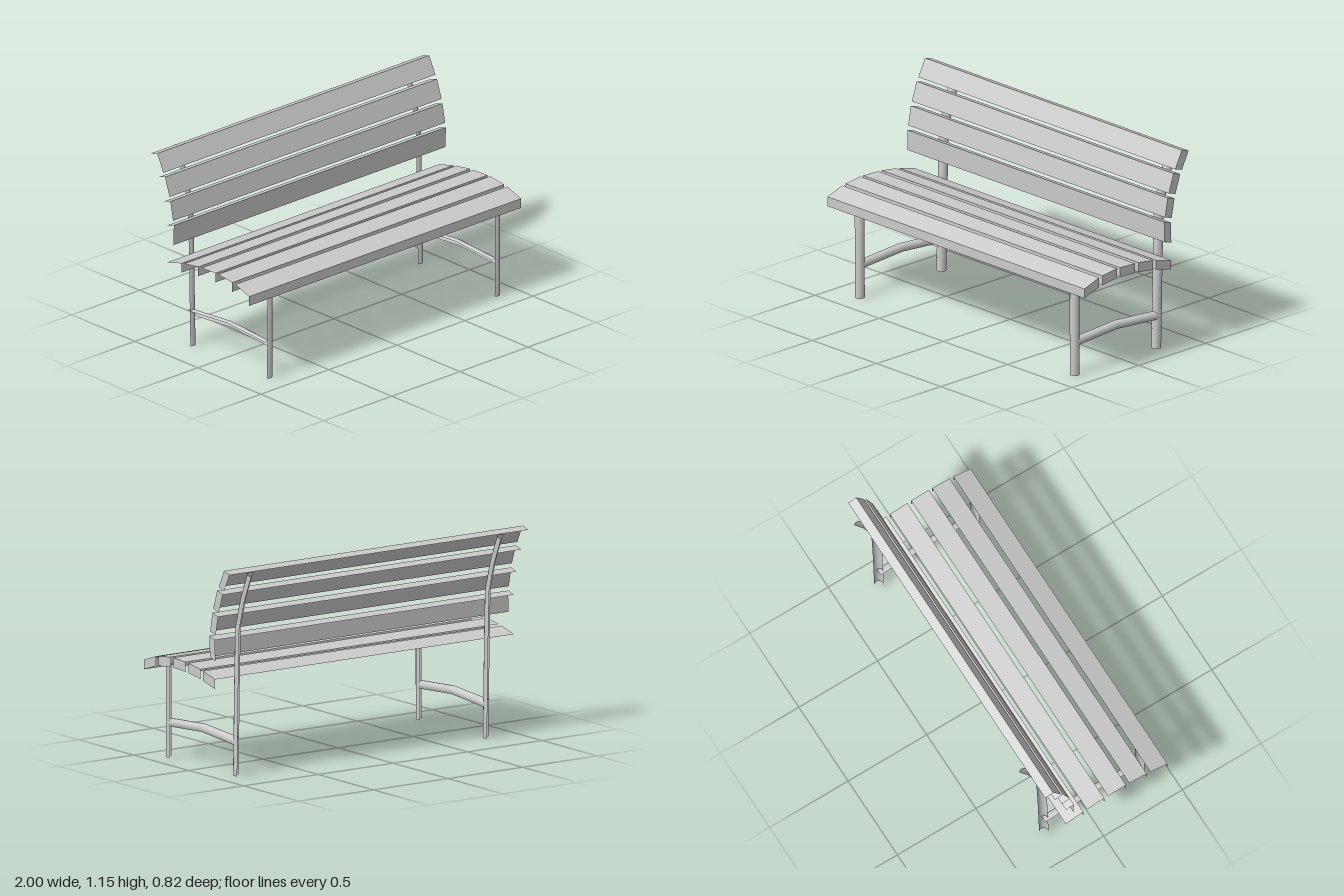
import * as THREE from 'three';

const material = new THREE.MeshStandardMaterial({ color: 0xcccccc, side: THREE.DoubleSide });

function makeMesh(name, positions, index) {
  const geometry = new THREE.BufferGeometry();
  geometry.setAttribute('position', new THREE.Float32BufferAttribute(positions, 3));
  if (index) geometry.setIndex(index);
  geometry.computeVertexNormals();
  const mesh = new THREE.Mesh(geometry, material);
  mesh.name = name;
  return mesh;
}

// Open plank: front, top and one end face. Corners are [z, y].
function slat(name, [bottomFront, topFront, topBack, bottomBack]) {
  const at = (x, [z, y]) => [x, y, z];
  const quad = (a, b, c, d) => [a, b, c, a, c, d].flat();
  const along = (p, q) => quad(at(-1, p), at(1, p), at(1, q), at(-1, q));
  const end = quad(...[bottomFront, bottomBack, topBack, topFront].map((p) => at(1, p)));
  return makeMesh(name, [...along(bottomFront, topFront), ...along(topFront, topBack), ...end]);
}

// Half pipe swept along a path of [z, y] points in the plane at x.
function halfPipe(name, x, path, radius) {
  const sides = 6, positions = [], index = [];
  path.forEach(([z, y], i) => {
    const p = path[Math.max(i - 1, 0)], q = path[Math.min(i + 1, path.length - 1)];
    const t = new THREE.Vector2(q[0] - p[0], q[1] - p[1]).normalize();
    for (let j = 0; j <= sides; j++) {
      const a = -Math.PI / 4 + (Math.PI * j) / sides;
      const s = radius * Math.sin(a);
      positions.push(x + radius * Math.cos(a), y - t.x * s, z + t.y * s);
      if (i > 0 && j < sides) {
        const b = i * (sides + 1) + j, a0 = b - sides - 1;
        index.push(a0, b, a0 + 1, b, b + 1, a0 + 1);
      }
    }
  });
  return makeMesh(name, positions, index);
}

export function createModel() {
  const bench = new THREE.Group();
  bench.name = 'bench';

  // Seat: five planks following a gentle arch
  const seat = new THREE.Group();
  seat.name = 'seat';
  const seatRows = [ // front z, front top y, back z, back top y
    [0.407, 0.542, 0.297, 0.579],
    [0.273, 0.583, 0.162, 0.597],
    [0.141, 0.597, 0.028, 0.592],
    [0.003, 0.591, -0.107, 0.575],
    [-0.13, 0.57, -0.242, 0.542],
  ];
  for (const [z0, y0, z1, y1] of seatRows) {
    seat.add(slat('seatSlat', [[z0, y0 - 0.054], [z0, y0], [z1, y1], [z1, y1 - 0.054]]));
  }
  bench.add(seat);

  // Backrest: four planks leaning further back with height
  const backrest = new THREE.Group();
  backrest.name = 'backrest';
  const backRows = [ // bottom z, bottom y, top z, top y of the front face
    [-0.193, 0.658, -0.19, 0.774],
    [-0.196, 0.799, -0.217, 0.906],
    [-0.224, 0.93, -0.26, 1.035],
    [-0.273, 1.056, -0.322, 1.154],
  ];
  for (const [z0, y0, z1, y1] of backRows) {
    backrest.add(slat('backSlat', [[z0, y0], [z1, y1], [z1 - 0.05, y1 - 0.015], [z0 - 0.05, y0 - 0.015]]));
  }
  bench.add(backrest);

  // Two pipe frames: front leg, curved back post and brace
  for (const x of [-0.81, 0.863]) {
    const frame = new THREE.Group();
    frame.name = 'legFrame';
    frame.add(
      halfPipe('frontLeg', x, [[0.347, 0], [0.349, 0.51]], 0.0265),
      halfPipe('backPost', x, [[-0.262, 0], [-0.272, 0.5], [-0.281, 0.815], [-0.329, 0.98], [-0.392, 1.127]], 0.0265),
      halfPipe('brace', x, [[0.347, 0.188], [0.046, 0.208], [-0.262, 0.185]], 0.0255),
    );
    bench.add(frame);
  }
  return bench;
}
